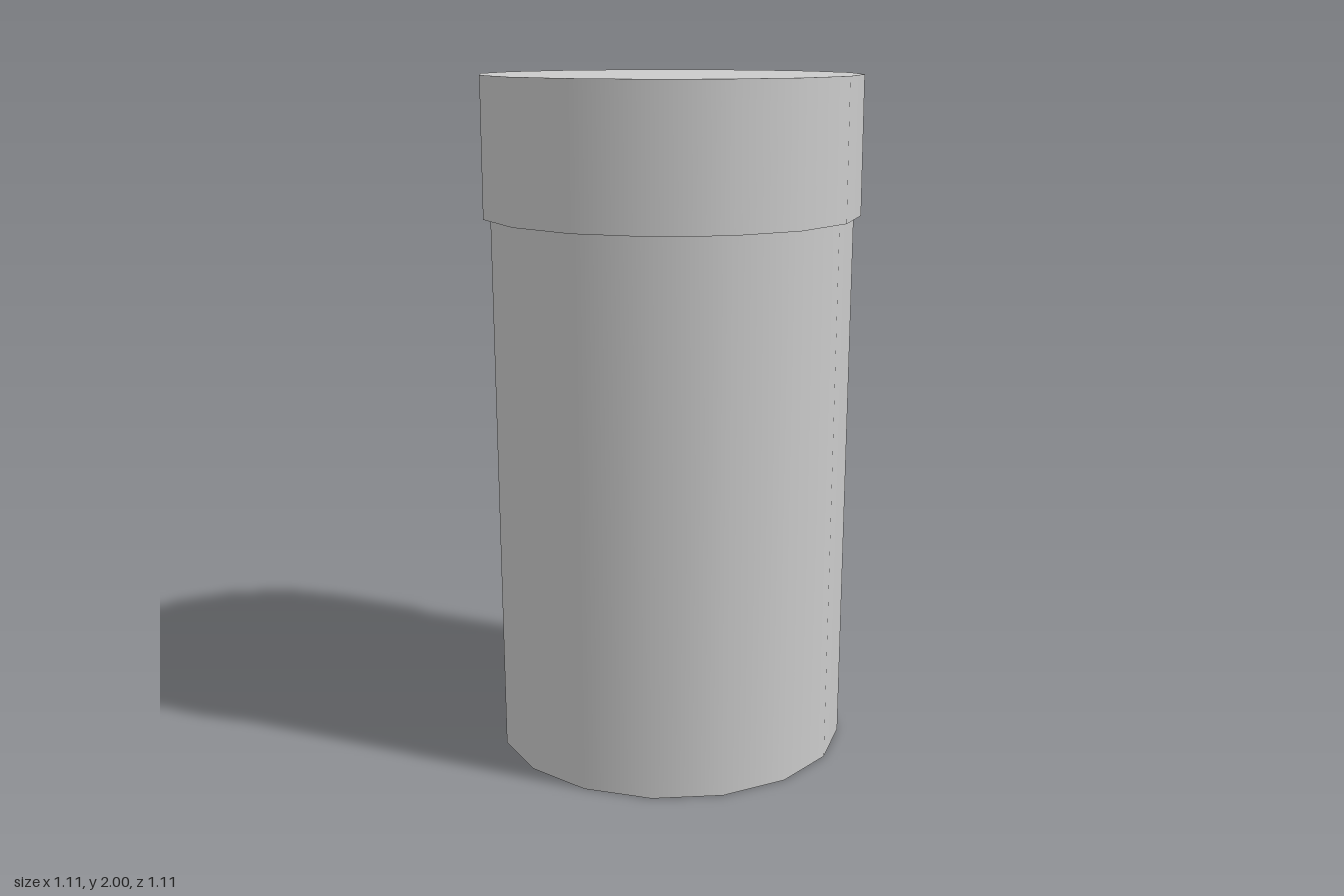
import * as THREE from 'three';

const SIDES = 16;

export function createModel() {
  const model = new THREE.Group();
  model.name = 'cappedCanister';
  const material = new THREE.MeshStandardMaterial({ color: 0xcccccc });

  // Closed upright cylinder standing between two heights
  function addCylinder(name, topRadius, bottomRadius, y0, y1) {
    const geometry = new THREE.CylinderGeometry(topRadius, bottomRadius, y1 - y0, SIDES);
    const mesh = new THREE.Mesh(geometry, material);
    mesh.name = name;
    mesh.position.y = (y0 + y1) / 2;
    model.add(mesh);
  }

  // Slightly tapered body, ending inside the lid
  addCylinder('body', 0.532, 0.523, 0, 1.62);

  // Wider lid with a small overhanging lip
  addCylinder('lid', 0.553, 0.553, 1.6, 2);

  return model;
}
